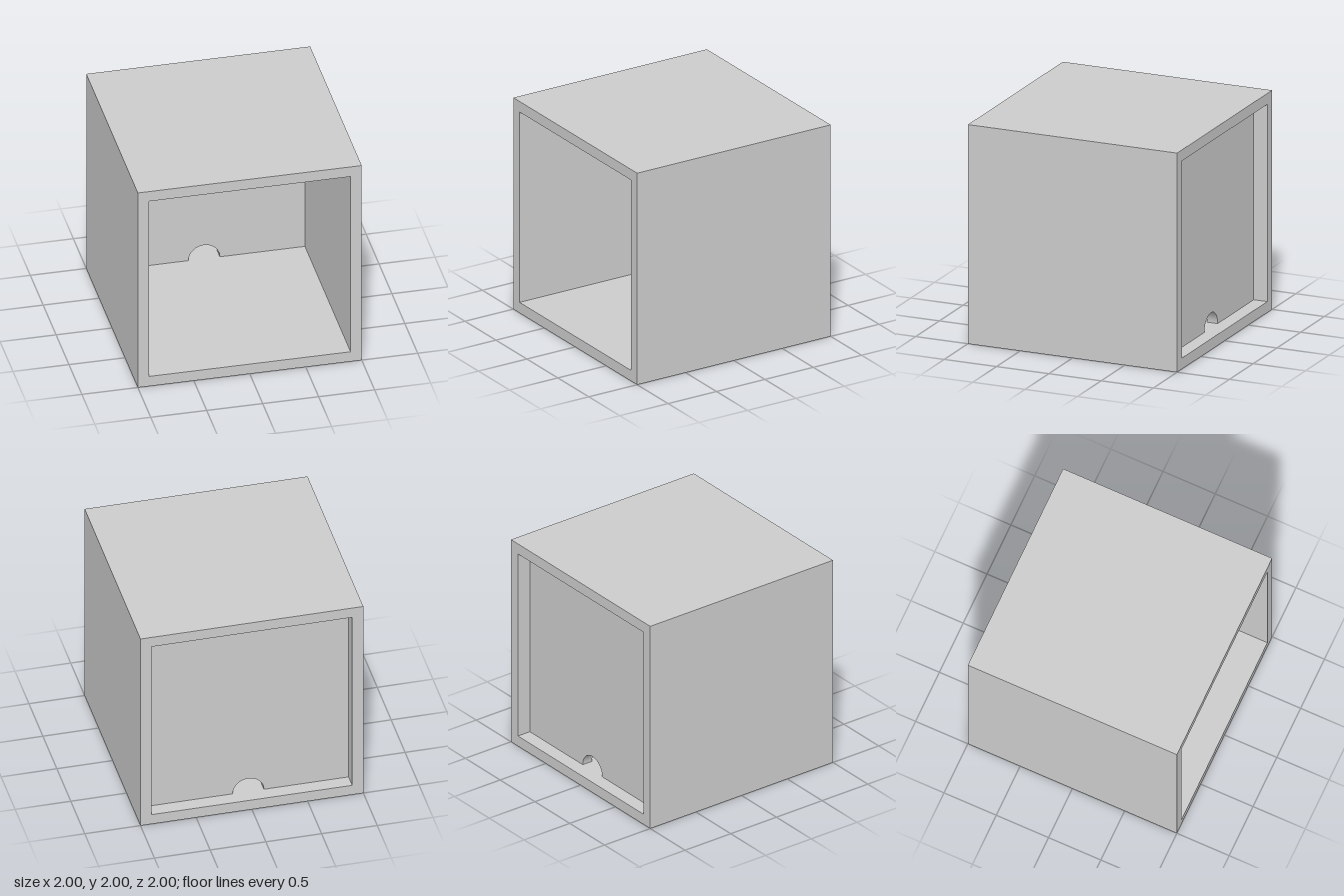
import * as THREE from 'three';

const SIZE = 2, WALL = 0.1, NOTCH = 0.14;
const PANEL_BACK = -0.87, PANEL_THICK = 0.1;

// Rectangle outline centred on x, standing on y = bottom
function rectangle(path, width, bottom, top) {
  const h = width / 2;
  path.moveTo(-h, bottom);
  path.lineTo(h, bottom);
  path.lineTo(h, top);
  path.lineTo(-h, top);
  path.closePath();
  return path;
}

function extrude(name, shape, z, depth, material) {
  const geometry = new THREE.ExtrudeGeometry(shape, { depth, bevelEnabled: false, curveSegments: 32 });
  geometry.translate(0, 0, z);
  const mesh = new THREE.Mesh(geometry, material);
  mesh.name = name;
  return mesh;
}

export function createModel() {
  const group = new THREE.Group();
  group.name = 'cubeShelf';
  const material = new THREE.MeshStandardMaterial({ color: 0xcccccc });

  // Square casing: top, bottom and side boards, open front to back
  const casing = rectangle(new THREE.Shape(), SIZE, 0, SIZE);
  casing.holes.push(rectangle(new THREE.Path(), SIZE - 2 * WALL, WALL, SIZE - WALL));
  group.add(extrude('casing', casing, -SIZE / 2, SIZE, material));

  // Recessed back panel with a half-round cable notch at the floor
  const h = SIZE / 2 - WALL;
  const panel = new THREE.Shape();
  panel.moveTo(-h, WALL);
  panel.lineTo(-NOTCH, WALL);
  panel.absarc(0, WALL, NOTCH, Math.PI, 0, true);
  panel.lineTo(h, WALL);
  panel.lineTo(h, SIZE - WALL);
  panel.lineTo(-h, SIZE - WALL);
  panel.closePath();
  group.add(extrude('backPanel', panel, PANEL_BACK, PANEL_THICK, material));

  return group;
}
